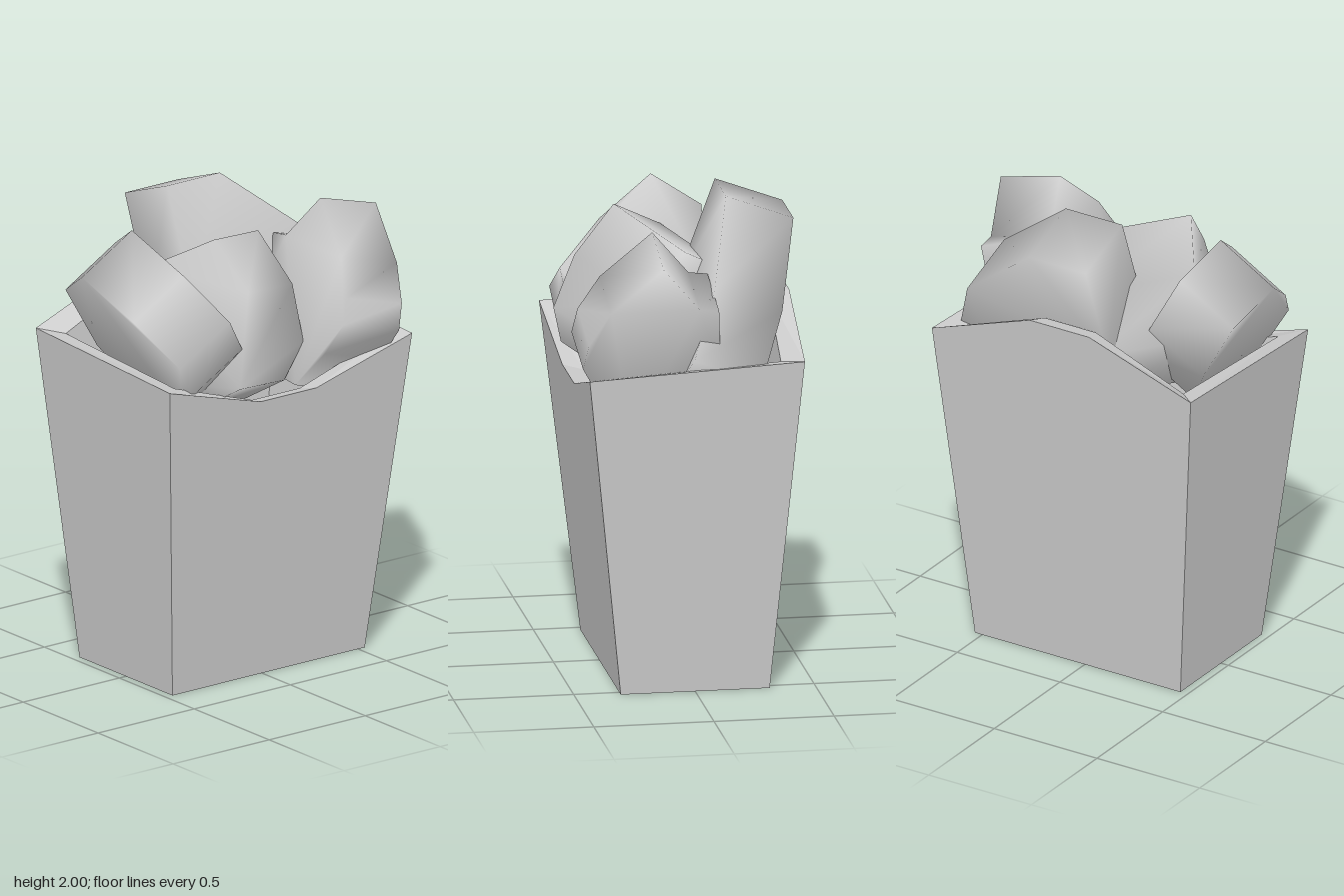
import * as THREE from 'three';
import { mergeVertices } from 'three/addons/utils/BufferGeometryUtils.js';

const material = new THREE.MeshStandardMaterial({ color: 0xcccccc });

// Open tapered carton: rings of the same length joined by quads
function createCarton() {
  const front = [[-0.595, 1.375], [-0.11, 1.235], [0.18, 1.235], [0.665, 1.375]];
  const back = [[0.665, 1.42], [0.18, 1.595], [-0.11, 1.595], [-0.595, 1.42]];
  const centre = 0.035;
  const ring = (fn) => [
    ...front.map(([x, y]) => fn(x - centre, y, 1)),
    ...back.map(([x, y]) => fn(x - centre, y, -1)),
  ];
  const wallZ = (y, side) => side * (0.31 + y * (side > 0 ? 0.109 : 0.088));
  const base = ring((x, y, s) => [centre + x * 0.794, 0, s * 0.31]);
  const rim = ring((x, y, s) => [centre + x, y, wallZ(y, s)]);
  const innerRim = ring((x, y, s) => [centre + x * 0.857, y - 0.02, wallZ(y, s) - s * 0.085]);
  const floor = ring((x, y, s) => [centre + x * 0.68, 0.3, s * 0.275]);

  const positions = [];
  const triangle = (a, b, c) => positions.push(...a, ...b, ...c);
  const rings = [base, rim, innerRim, floor];
  const count = base.length;
  for (let r = 0; r < rings.length - 1; r++) {
    const lower = rings[r], upper = rings[r + 1];
    for (let i = 0; i < count; i++) {
      const j = (i + 1) % count;
      triangle(lower[i], lower[j], upper[j]);
      triangle(lower[i], upper[j], upper[i]);
    }
  }
  // Underside and inner floor
  for (let i = 1; i < count - 1; i++) {
    triangle(base[0], base[i + 1], base[i]);
    triangle(floor[0], floor[i], floor[i + 1]);
  }
  const geometry = new THREE.BufferGeometry();
  geometry.setAttribute('position', new THREE.Float32BufferAttribute(positions, 3));
  geometry.computeVertexNormals();
  const mesh = new THREE.Mesh(geometry, material);
  mesh.name = 'carton';
  return mesh;
}

// Chunky slab with soft shading; profile is [across, distance below the top]
function createNugget({ name, origin, across, up, depth, profile }) {
  const shape = new THREE.Shape(profile.map(([p, s]) => new THREE.Vector2(p, -s)));
  let geometry = new THREE.ExtrudeGeometry(shape, { depth, steps: 1, bevelEnabled: false });
  geometry.deleteAttribute('normal');
  geometry.deleteAttribute('uv');
  const f = new THREE.Vector3(...across).normalize();
  const u = new THREE.Vector3(...up).normalize();
  const w = new THREE.Vector3().crossVectors(f, u);
  geometry.applyMatrix4(new THREE.Matrix4().makeBasis(f, u, w).setPosition(...origin));
  geometry = mergeVertices(geometry, 1e-4);
  geometry.computeVertexNormals();
  const mesh = new THREE.Mesh(geometry, material);
  mesh.name = name;
  return mesh;
}

const nuggets = [
  {
    name: 'rightNugget', origin: [-0.45, 1.935, 0], across: [0, 0, 1], up: [-0.5, 0.866, 0], depth: 0.3,
    profile: [[-0.18, 0.14], [0.02, 0], [0.25, 0.18], [0.43, 0.38], [0.41, 0.54], [0.24, 0.7], [-0.04, 0.68], [-0.17, 0.45]],
  },
  {
    name: 'leftNugget', origin: [0.71, 1.85, 0], across: [0, 0, 1], up: [0.27, 0.96, 0], depth: 0.3,
    profile: [[-0.08, 0.21], [0, 0.2], [0.16, 0], [0.37, 0.2], [0.455, 0.35], [0.475, 0.46], [0.4, 0.6], [0.26, 0.77], [0.05, 0.75], [-0.1, 0.5]],
  },
  {
    name: 'backNugget', origin: [0, 1.895, -0.47], across: [1, 0, 0], up: [0, 0.94, -0.35], depth: 0.3,
    profile: [[-0.105, 0], [0.17, 0], [0.54, 0.31], [0.645, 0.6], [0.5, 0.78], [0.1, 0.75], [-0.105, 0.49]],
  },
  {
    name: 'middleNugget', origin: [0.23, 1.785, -0.01], across: [0.49, 0, 0.87], up: [0.19, 0.975, -0.11], depth: 0.48,
    profile: [[-0.38, 0.38], [-0.27, 0.14], [0, 0], [0.17, 0.2], [0.24, 0.43], [0.17, 0.6], [0, 0.7], [-0.25, 0.62]],
  },
];

export function createModel() {
  const model = new THREE.Group();
  model.name = 'nuggetCarton';
  model.add(createCarton(), ...nuggets.map(createNugget));
  return model;
}
